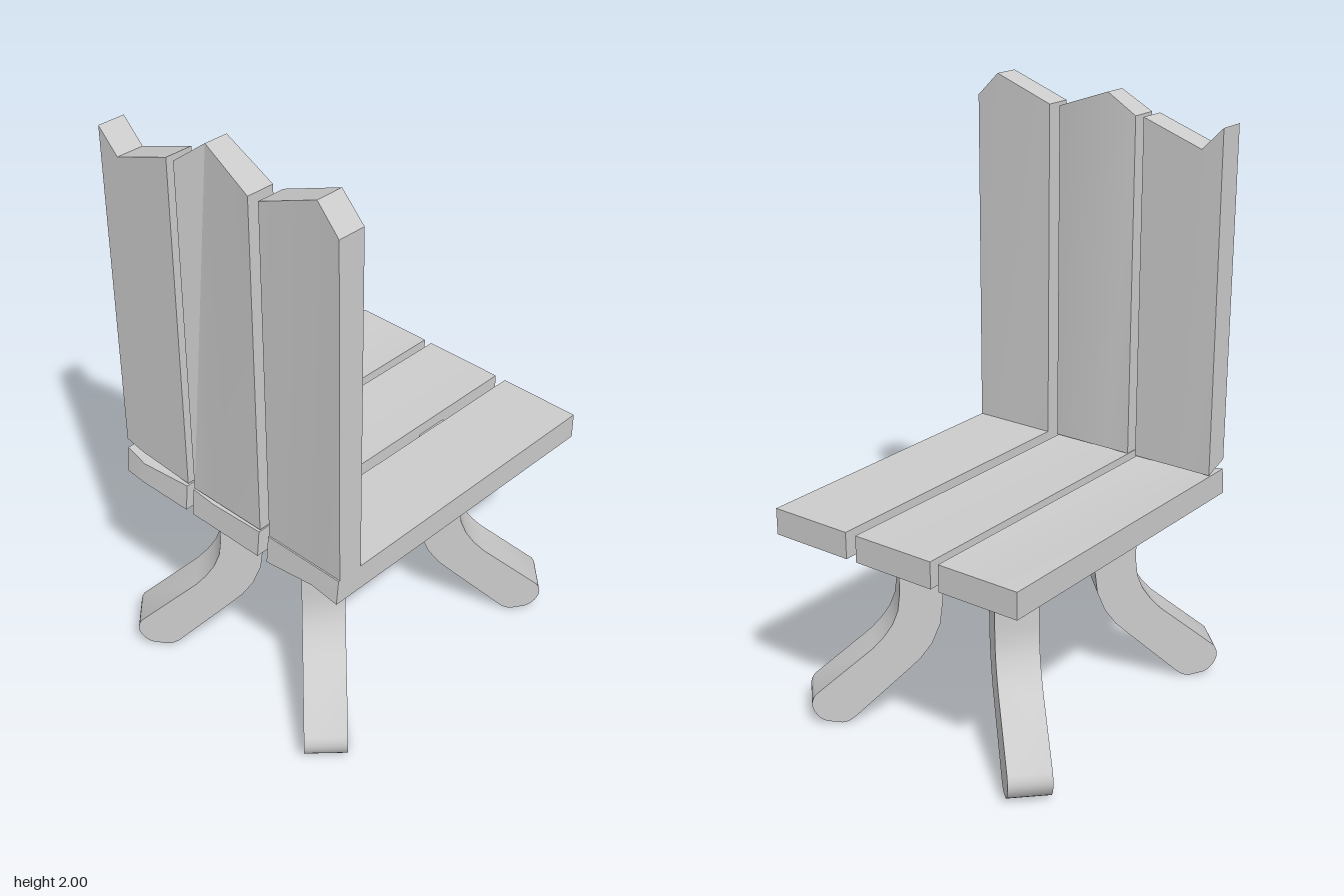
import * as THREE from 'three';
import { toCreasedNormals } from 'three/addons/utils/BufferGeometryUtils.js';

const material = new THREE.MeshStandardMaterial({ color: 0xcccccc });

function addMesh(parent, name, geometry, crease) {
  const mesh = new THREE.Mesh(toCreasedNormals(geometry, crease), material);
  mesh.name = name;
  parent.add(mesh);
  return mesh;
}

// Rough-cut board: four-cornered sections at several x positions.
// Corners are [y, z]: bottom front, top front, top back, bottom back.
function plankGeometry(sections) {
  const pos = [];
  const quad = (a, b, c, d) => pos.push(...a, ...b, ...c, ...a, ...c, ...d);
  const rings = sections.map(({ x, corners }) => corners.map(([y, z]) => [x, y, z]));
  for (let i = 0; i < rings.length - 1; i++) {
    for (let k = 0; k < 4; k++) {
      const n = (k + 1) % 4;
      quad(rings[i][k], rings[i + 1][k], rings[i + 1][n], rings[i][n]);
    }
  }
  quad(...rings[0]);
  quad(...[...rings[rings.length - 1]].reverse());
  const geometry = new THREE.BufferGeometry();
  geometry.setAttribute('position', new THREE.Float32BufferAttribute(pos, 3));
  return geometry;
}

// Upright board: [x, top y, front bottom y, lean of the top toward the seat]
function backPlank(stations) {
  return plankGeometry(stations.map(([x, top, bottom, lean]) => ({
    x,
    corners: [[bottom, 0.53], [top, 0.53 - lean], [top, 0.435 - lean * 0.65], [0.77, 0.44]],
  })));
}

// Seat board: [x, front bottom y, front top y, front z]
function seatPlank(stations) {
  return plankGeometry(stations.map(([x, bottom, top, z]) => ({
    x,
    corners: [[bottom, z], [top, z - 0.01], [0.77, -0.605], [0.68, -0.605]],
  })));
}

// Curved square leg: a side profile extruded across its width
function legGeometry() {
  const width = 0.14;
  const shape = new THREE.Shape();
  shape.moveTo(-0.07, 0.73);
  shape.lineTo(-0.07, 0.43);
  shape.bezierCurveTo(-0.07, 0.3, -0.01, 0.23, 0.05, 0.18);
  shape.lineTo(0.22, 0.025);
  shape.quadraticCurveTo(0.245, 0, 0.27, 0);
  shape.lineTo(0.32, 0.01);
  shape.quadraticCurveTo(0.345, 0.02, 0.36, 0.05);
  shape.quadraticCurveTo(0.375, 0.08, 0.355, 0.11);
  shape.lineTo(0.16, 0.27);
  shape.bezierCurveTo(0.11, 0.32, 0.07, 0.37, 0.07, 0.46);
  shape.lineTo(0.07, 0.73);
  return new THREE.ExtrudeGeometry(shape, { depth: width, bevelEnabled: false, curveSegments: 4 })
    .translate(0, 0, -width / 2);
}

export function createModel() {
  const group = new THREE.Group();
  group.name = 'chair';

  // Backrest boards with uneven tops
  const backrest = new THREE.Group();
  backrest.name = 'backrest';
  group.add(backrest);
  [
    [[-0.47, 1.92, 0.8, 0], [-0.395, 1.845, 0.785, 0], [-0.18, 1.92, 0.772, 0]],
    [[-0.15, 1.92, 0.77, 0], [-0.06, 1.99, 0.77, 0.04], [0.145, 1.92, 0.77, 0]],
    [[0.185, 1.92, 0.77, 0], [0.395, 2.0, 0.77, 0.008], [0.48, 1.92, 0.77, 0]],
  ].forEach((s, i) => addMesh(backrest, `backPlank${i + 1}`, backPlank(s), 0.4));

  // Seat boards
  const seat = new THREE.Group();
  seat.name = 'seat';
  group.add(seat);
  [
    [[-0.47, 0.675, 0.765, 0.54], [-0.38, 0.68, 0.75, 0.55], [-0.18, 0.675, 0.765, 0.545]],
    [[-0.15, 0.675, 0.768, 0.545], [-0.06, 0.675, 0.758, 0.545], [0.145, 0.675, 0.765, 0.545]],
    [[0.185, 0.675, 0.77, 0.545], [0.38, 0.7, 0.77, 0.545], [0.48, 0.685, 0.77, 0.545]],
  ].forEach((s, i) => addMesh(seat, `seatPlank${i + 1}`, seatPlank(s), 0.4));

  // Legs splayed toward the corners
  const legs = new THREE.Group();
  legs.name = 'legs';
  group.add(legs);
  const leg = legGeometry();
  for (const [name, x, z] of [
    ['frontRightLeg', -0.18, 0.31], ['frontLeftLeg', 0.197, 0.31],
    ['backRightLeg', -0.197, -0.26], ['backLeftLeg', 0.187, -0.265],
  ]) {
    const mesh = addMesh(legs, name, leg, 0.6);
    mesh.position.set(x, 0, z);
    mesh.rotation.y = Math.atan2(-Math.sign(z), Math.sign(x));
  }
  return group;
}
